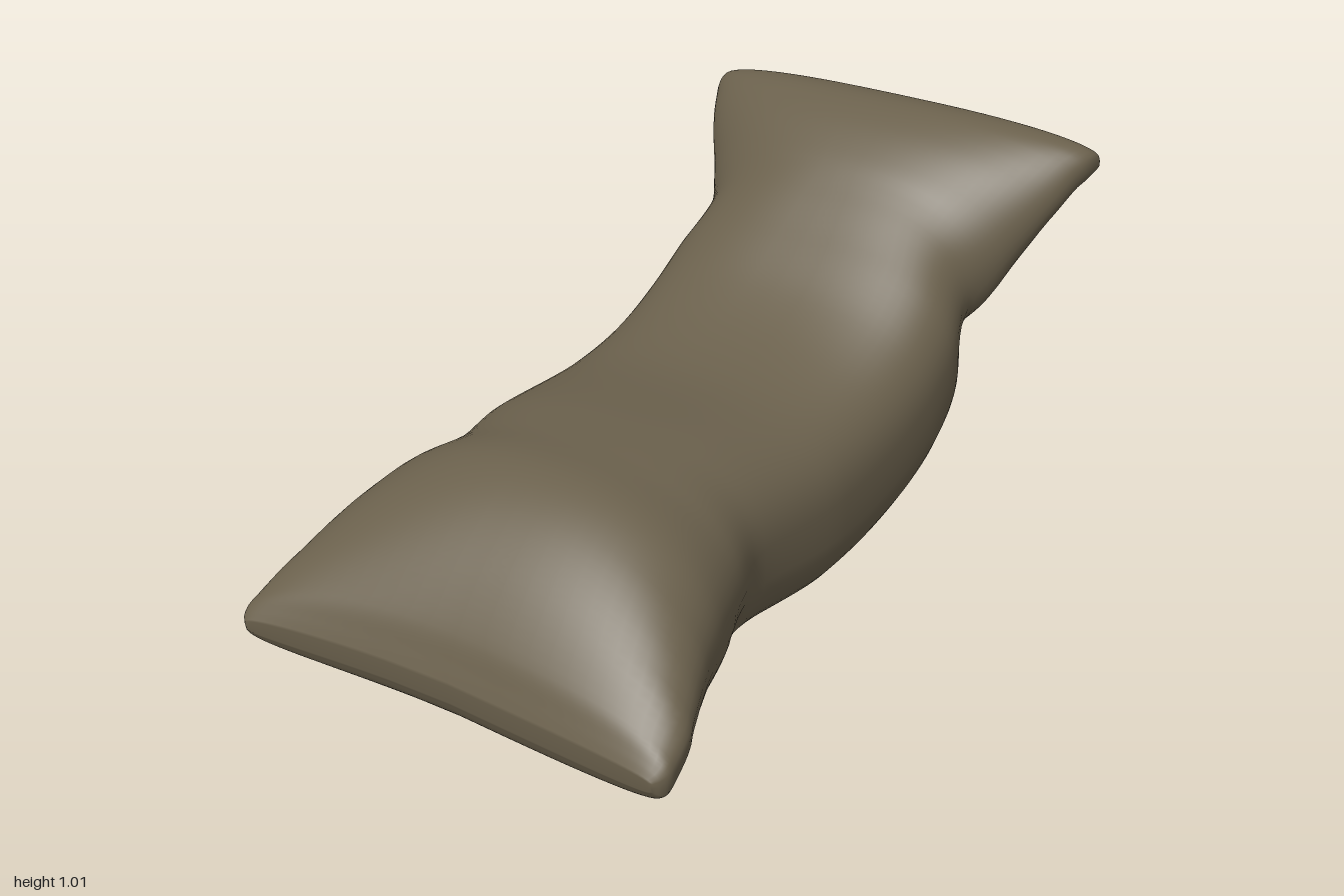
import * as THREE from 'three';

// Cross-sections from the low end to the raised end:
// top x, top y, bottom x, bottom y, front half-width, back half-width, squareness (lower = boxier)
const STATIONS = [
  [-0.945, 0.165, -0.94, 0.115, 0.55, 0.56, 0.5],
  [-0.93, 0.205, -0.92, 0.075, 0.568, 0.577, 0.6],
  [-0.9, 0.275, -0.88, 0.045, 0.575, 0.58, 0.85],
  [-0.8, 0.4, -0.78, 0.03, 0.55, 0.56, 1.08],
  [-0.68, 0.49, -0.68, 0.015, 0.51, 0.54, 1.08],
  [-0.56, 0.535, -0.56, 0.01, 0.47, 0.51, 1],
  [-0.42, 0.54, -0.42, 0.01, 0.425, 0.46, 0.88],
  [-0.27, 0.54, -0.28, 0.01, 0.385, 0.475, 0.78],
  [0, 0.535, 0, 0.005, 0.41, 0.465, 0.72],
  [0.18, 0.575, 0.22, 0.035, 0.42, 0.455, 0.72],
  [0.33, 0.645, 0.4, 0.1, 0.43, 0.45, 0.72],
  [0.46, 0.745, 0.54, 0.19, 0.43, 0.44, 0.75],
  [0.56, 0.835, 0.66, 0.335, 0.4, 0.41, 0.8],
  [0.65, 0.915, 0.76, 0.5, 0.45, 0.45, 0.95],
  [0.75, 0.98, 0.86, 0.665, 0.51, 0.52, 0.95],
  [0.84, 1.012, 0.935, 0.785, 0.55, 0.56, 0.85],
  [0.91, 1.005, 0.975, 0.845, 0.567, 0.575, 0.68],
  [0.955, 0.98, 0.993, 0.875, 0.566, 0.574, 0.6],
  [0.985, 0.945, 1.0, 0.905, 0.55, 0.56, 0.55],
];

// Soft folds where the corners pinch away from the body: x, y, side, depth, radius
const FOLDS = [
  [0.65, 0.5, 1, 0.045, 0.06],
  [0.65, 0.5, -1, 0.045, 0.06],
  [-0.4, 0.17, 1, 0.025, 0.06],
];

const AROUND = 64;
const ALONG = 110;
const signedPow = (v, p) => Math.sign(v) * Math.pow(Math.abs(v), p);

function createCushionGeometry() {
  const curve = (pick) => new THREE.CatmullRomCurve3(STATIONS.map((s) => new THREE.Vector3(...pick(s))));
  const topCurve = curve((s) => [s[0], s[1], 0]);
  const bottomCurve = curve((s) => [s[2], s[3], 0]);
  const shapeCurve = curve((s) => [s[4], s[5], s[6]]);
  const positions = [];
  const indices = [];

  for (let i = 0; i <= ALONG; i++) {
    const t = i / ALONG;
    const top = topCurve.getPoint(t);
    const bottom = bottomCurve.getPoint(t);
    const shape = shapeCurve.getPoint(t);
    // The low end sags: its underside is fuller than its top
    const sag = 1 - 0.25 * THREE.MathUtils.smoothstep(-bottom.x, 0.2, 0.6);
    for (let j = 0; j < AROUND; j++) {
      const a = (j / AROUND) * Math.PI * 2;
      const c = Math.cos(a);
      const s = Math.sin(a);
      const v = signedPow(s, s < 0 ? shape.z * sag : shape.z);
      let z = signedPow(c, Math.min(shape.z, 0.9)) * (c > 0 ? shape.x : shape.y);
      const p = bottom.clone().lerp(top, (v + 1) / 2);

      // The low end is skewed toward its back corner, the raised end bows out slightly
      const low = THREE.MathUtils.smoothstep(-p.x, 0.5, 0.95);
      const high = THREE.MathUtils.smoothstep(p.x, 0.7, 1);
      p.x += low * (0.02 - 0.075 * Math.pow(Math.max(0, -z / 0.58), 1.5));
      p.x -= high * 0.02 * Math.pow(z / 0.57, 2);

      for (const [fx, fy, side, depth, radius] of FOLDS) {
        if (z * side <= 0) continue;
        const d2 = (p.x - fx) ** 2 + (p.y - fy) ** 2;
        z -= side * depth * Math.exp(-d2 / (radius * radius)) * Math.min(1, Math.abs(z) / 0.4);
      }
      positions.push(p.x, p.y, z);
    }
  }

  // Skin between neighbouring rings
  for (let i = 0; i < ALONG; i++) {
    for (let j = 0; j < AROUND; j++) {
      const k = (j + 1) % AROUND;
      const a = i * AROUND + j;
      const b = i * AROUND + k;
      indices.push(a, a + AROUND, b, a + AROUND, b + AROUND, b);
    }
  }

  // Narrow end closures, stitched straight across from upper edge to lower edge
  const last = ALONG * AROUND;
  for (let j = 0; j < AROUND / 2; j++) {
    const upper = j;
    const upperNext = j + 1;
    const lower = (AROUND - j) % AROUND;
    const lowerNext = AROUND - j - 1;
    indices.push(upper, upperNext, lower, upperNext, lowerNext, lower);
    indices.push(last + upper, last + lower, last + upperNext);
    indices.push(last + upperNext, last + lower, last + lowerNext);
  }

  const geometry = new THREE.BufferGeometry();
  geometry.setAttribute('position', new THREE.Float32BufferAttribute(positions, 3));
  geometry.setIndex(indices);
  geometry.computeVertexNormals();
  return geometry;
}

export function createModel() {
  const group = new THREE.Group();
  group.name = 'beanBagLounger';
  const fabric = new THREE.MeshStandardMaterial({ color: 0x6a604c });
  fabric.name = 'olive brown fabric';
  const cushion = new THREE.Mesh(createCushionGeometry(), fabric);
  cushion.name = 'cushion';
  group.add(cushion);
  return group;
}
